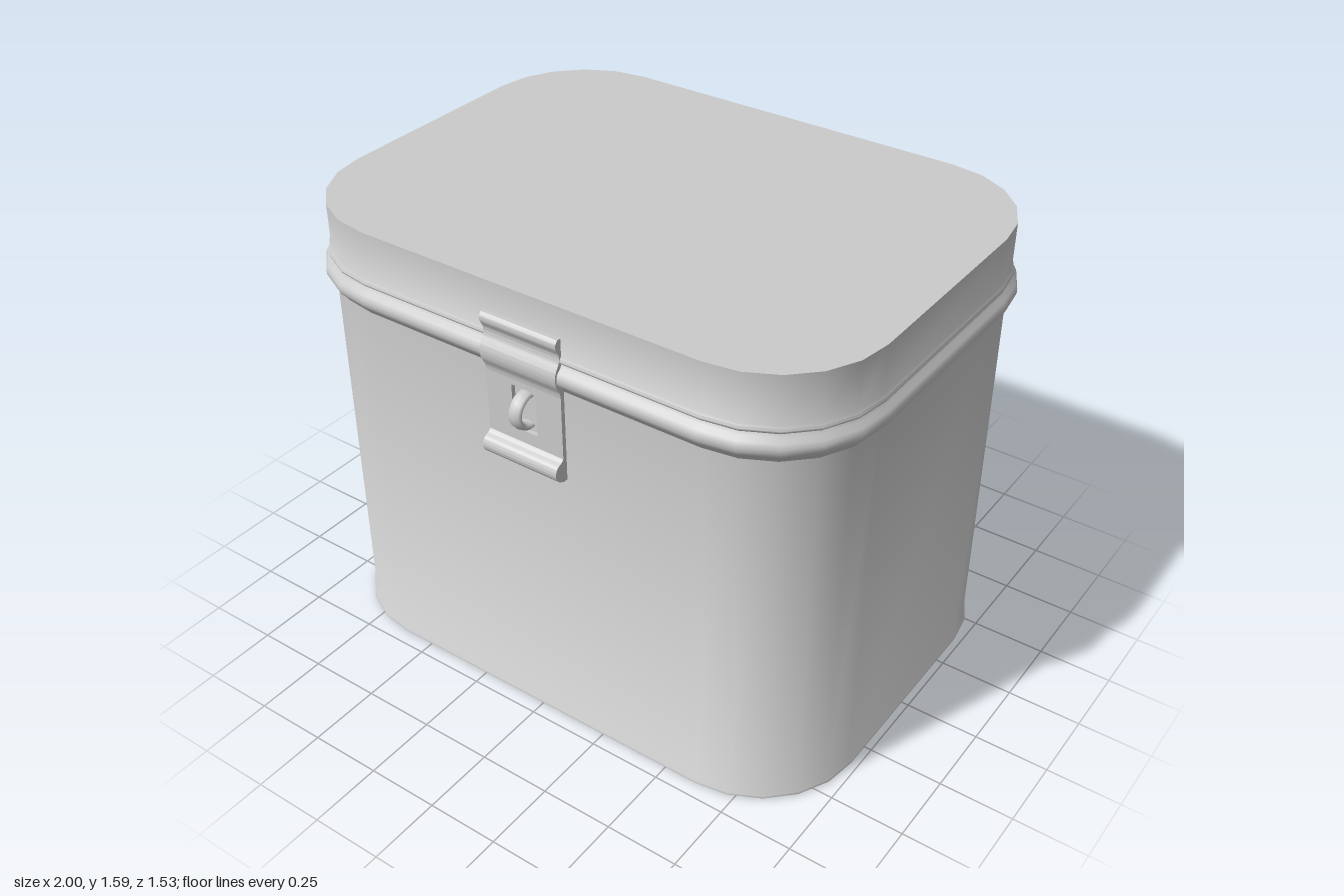
import * as THREE from 'three';
import { toCreasedNormals } from 'three/addons/utils/BufferGeometryUtils.js';

const HALF_X = 0.975, HALF_Z = 0.718, CENTER_Z = -0.02, RADIUS = 0.36, STEPS = 5;
const LATCH_WIDTH = 0.28;
const material = new THREE.MeshStandardMaterial({ color: 0xcccccc, side: THREE.DoubleSide });

function mesh(name, geometry) {
  const m = new THREE.Mesh(geometry, material);
  m.name = name;
  return m;
}

// Rounded rectangle grown outward by d, as [x, z] points
function outline(d) {
  const pts = [], r = RADIUS + d;
  for (let q = 0; q < 4; q++) {
    const sx = q === 0 || q === 3 ? 1 : -1, sz = q < 2 ? 1 : -1;
    for (let i = 0; i <= STEPS; i++) {
      const a = (q + i / STEPS) * Math.PI / 2;
      pts.push([sx * (HALF_X - RADIUS) + r * Math.cos(a),
        CENTER_Z + sz * (HALF_Z - RADIUS) + r * Math.sin(a)]);
    }
  }
  return pts;
}

// Stack outlines along a [offset, y] profile listed upward; optionally cap either end
function loft(profile, capBottom, capTop) {
  const pos = [], idx = [], n = 4 * (STEPS + 1);
  for (const [d, y] of profile) for (const [x, z] of outline(d)) pos.push(x, y, z);
  for (let k = 0; k < profile.length - 1; k++) {
    for (let i = 0; i < n; i++) {
      const a = k * n + i, b = k * n + (i + 1) % n;
      idx.push(a, a + n, b, b, a + n, b + n);
    }
  }
  const cap = (k, up) => {
    const c = pos.length / 3;
    pos.push(0, profile[k][1], CENTER_Z);
    for (let i = 0; i < n; i++) {
      const a = k * n + i, b = k * n + (i + 1) % n;
      if (up) idx.push(c, b, a); else idx.push(c, a, b);
    }
  };
  if (capBottom) cap(0, false);
  if (capTop) cap(profile.length - 1, true);
  const g = new THREE.BufferGeometry();
  g.setAttribute('position', new THREE.Float32BufferAttribute(pos, 3));
  g.setIndex(idx);
  return toCreasedNormals(g, 0.9);
}

// Side profile in (z, y) extruded across the latch width
function acrossLatch(shape) {
  const g = new THREE.ExtrudeGeometry(shape, { depth: LATCH_WIDTH, bevelEnabled: false, curveSegments: 6 });
  g.translate(0, 0, -LATCH_WIDTH / 2);
  g.rotateY(-Math.PI / 2);
  return toCreasedNormals(g, 0.8);
}

export function createModel() {
  const group = new THREE.Group();

  // Can body with a thin hem round the base
  group.add(mesh('body', loft([
    [-0.004, 0], [0.003, 0.005], [0.003, 0.014], [-0.006, 0.022], [-0.006, 1.34],
  ], true, false)));

  // Lid with a rolled bead and a fine rib above it
  group.add(mesh('lid', loft([
    [-0.008, 1.3], [0.003, 1.316], [0.018, 1.332], [0.025, 1.346], [0.025, 1.362],
    [0.018, 1.376], [0.005, 1.388], [0, 1.398], [0.007, 1.404], [0.009, 1.411],
    [0.006, 1.418], [0, 1.424], [0, 1.585],
  ], false, true)));

  const latch = new THREE.Group();
  latch.name = 'latch';
  group.add(latch);

  // Upper hook bent over the lid bead
  const hook = new THREE.Shape();
  hook.moveTo(0.685, 1.484);
  hook.lineTo(0.712, 1.484);
  hook.splineThru([[0.721, 1.472], [0.72, 1.455], [0.708, 1.43], [0.71, 1.405], [0.725, 1.38],
    [0.729, 1.355], [0.724, 1.33], [0.711, 1.305], [0.707, 1.285]].map(p => new THREE.Vector2(...p)));
  hook.lineTo(0.685, 1.285);
  latch.add(mesh('latchHook', acrossLatch(hook)));

  // Flat plate with a slot for the staple
  const w = LATCH_WIDTH / 2;
  const plate = new THREE.Shape([[-w, 1.06], [w, 1.06], [w, 1.285], [-w, 1.285]]
    .map(p => new THREE.Vector2(...p)));
  plate.holes.push(new THREE.Path([[-0.045, 1.115], [-0.045, 1.265], [0.045, 1.265], [0.045, 1.115]]
    .map(p => new THREE.Vector2(...p))));
  const plateGeometry = new THREE.ExtrudeGeometry(plate, { depth: 0.017, bevelEnabled: false });
  plateGeometry.translate(0, 0, 0.69);
  latch.add(mesh('latchPlate', plateGeometry));

  // Curled finger lip at the bottom
  const lip = new THREE.Shape();
  lip.moveTo(0.685, 1.072);
  lip.lineTo(0.707, 1.072);
  lip.splineThru([[0.715, 1.064], [0.735, 1.054], [0.744, 1.036], [0.742, 1.018],
    [0.73, 1.002], [0.708, 0.99]].map(p => new THREE.Vector2(...p)));
  lip.lineTo(0.685, 0.99);
  latch.add(mesh('latchLip', acrossLatch(lip)));

  // Staple loop through the slot
  const ring = new THREE.TorusGeometry(0.053, 0.012, 8, 24);
  ring.scale(1, 1, 2.1);
  ring.rotateY(Math.PI / 2);
  ring.translate(0, 1.19, 0.697);
  latch.add(mesh('staple', ring));

  return group;
}
